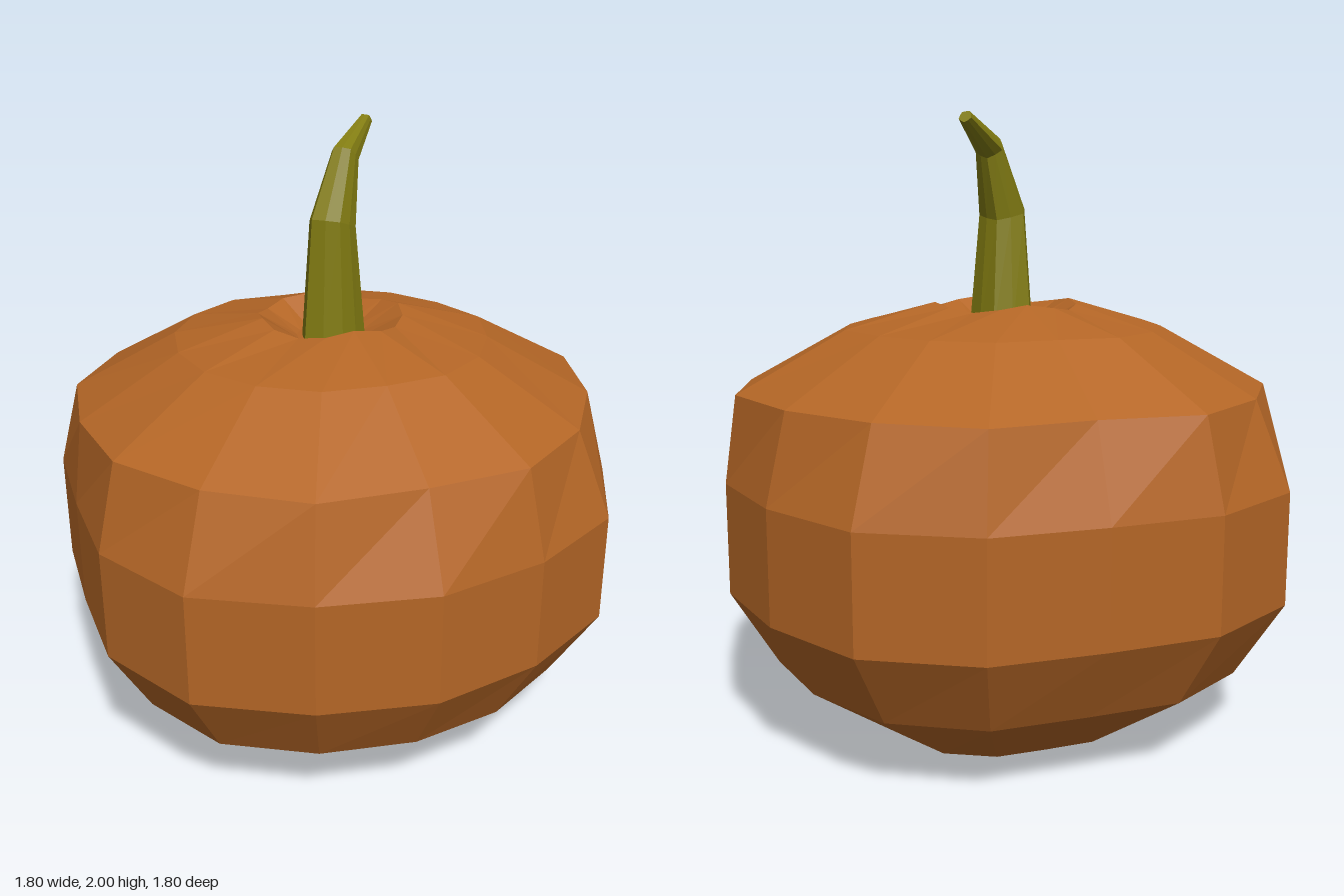
import * as THREE from 'three';

// Joins rings of points (bottom to top) into a faceted closed skin
function skin(rings) {
  const n = rings[0].length, pos = [];
  const tri = (...pts) => pts.forEach(p => pos.push(p.x, p.y, p.z));
  const middle = ring => ring.reduce((s, p) => s.add(p), new THREE.Vector3()).divideScalar(n);
  const first = rings[0], last = rings[rings.length - 1];
  const bottom = middle(first), top = middle(last);
  for (let j = 0; j < n; j++) {
    const k = (j + 1) % n;
    for (let i = 0; i < rings.length - 1; i++) {
      const a = rings[i][j], b = rings[i][k], c = rings[i + 1][j], d = rings[i + 1][k];
      tri(a, c, b);
      tri(b, c, d);
    }
    tri(bottom, first[j], first[k]);
    tri(top, last[k], last[j]);
  }
  const geometry = new THREE.BufferGeometry();
  geometry.setAttribute('position', new THREE.Float32BufferAttribute(pos, 3));
  geometry.computeVertexNormals();
  return geometry;
}

export function createModel() {
  const model = new THREE.Group();
  const orange = new THREE.MeshStandardMaterial({ color: 0xb46626, flatShading: true });
  orange.name = 'pumpkin orange';
  const green = new THREE.MeshStandardMaterial({ color: 0x827c12, flatShading: true });
  green.name = 'stem green';
  const add = (name, geometry, material) => {
    const mesh = new THREE.Mesh(geometry, material);
    mesh.name = name;
    model.add(mesh);
  };

  // Pumpkin body: height, radii along +x, +z, -x, -z, then at 22.5 and 45 degrees, wave of the rim
  const CX = -0.03, CZ = -0.03;
  const bodyRings = [
    [0.00, 0.43, 0.43, 0.40, 0.40, 0.43, 0.45, 0],
    [0.25, 0.78, 0.775, 0.73, 0.73, 0.785, 0.81, 0],
    [0.50, 0.93, 0.93, 0.87, 0.87, 0.93, 0.965, 0],
    [0.86, 0.93, 0.93, 0.87, 0.87, 0.93, 0.965, 0],
    [1.14, 0.89, 0.81, 0.835, 0.765, 0.857, 0.85, 0],
    [1.33, 0.54, 0.495, 0.51, 0.47, 0.515, 0.515, 0],
    [1.40, 0.24, 0.22, 0.23, 0.21, 0.237, 0.23, 0.012],
    [1.33, 0.11, 0.11, 0.11, 0.11, 0.11, 0.11, 0],
  ].map(([y, px, pz, nx, nz, side, diagonal, wave]) =>
    Array.from({ length: 16 }, (_, j) => {
      const a = j * Math.PI / 8;
      const r = j % 4 === 0 ? [px, pz, nx, nz][j / 4] : j % 2 ? side : diagonal;
      return new THREE.Vector3(CX + r * Math.cos(a), y + wave * Math.cos(4 * a), CZ + r * Math.sin(a));
    }));
  add('pumpkinBody', skin(bodyRings), orange);

  // Curved ribbed stem: centre x, y, z, radius, tilt towards the back left
  const up = new THREE.Vector3(0, 1, 0);
  const stemRings = [
    [-0.025, 1.32, -0.03, 0.108, 0],
    [-0.025, 1.70, -0.03, 0.077, 0.35],
    [0.042, 1.90, -0.09, 0.046, 0.8],
    [0.167, 1.986, -0.225, 0.021, 1.0],
  ].map(([x, y, z, radius, tilt]) => {
    const normal = new THREE.Vector3(0.66 * Math.sin(tilt), Math.cos(tilt), -0.75 * Math.sin(tilt)).normalize();
    const turn = new THREE.Quaternion().setFromUnitVectors(up, normal);
    return Array.from({ length: 10 }, (_, j) => {
      const a = (j + 0.5) * Math.PI / 5, r = radius * (j % 2 ? 0.9 : 1.02);
      return new THREE.Vector3(r * Math.cos(a), 0, r * Math.sin(a))
        .applyQuaternion(turn).add(new THREE.Vector3(x, y, z));
    });
  });
  add('stem', skin(stemRings), green);

  return model;
}
